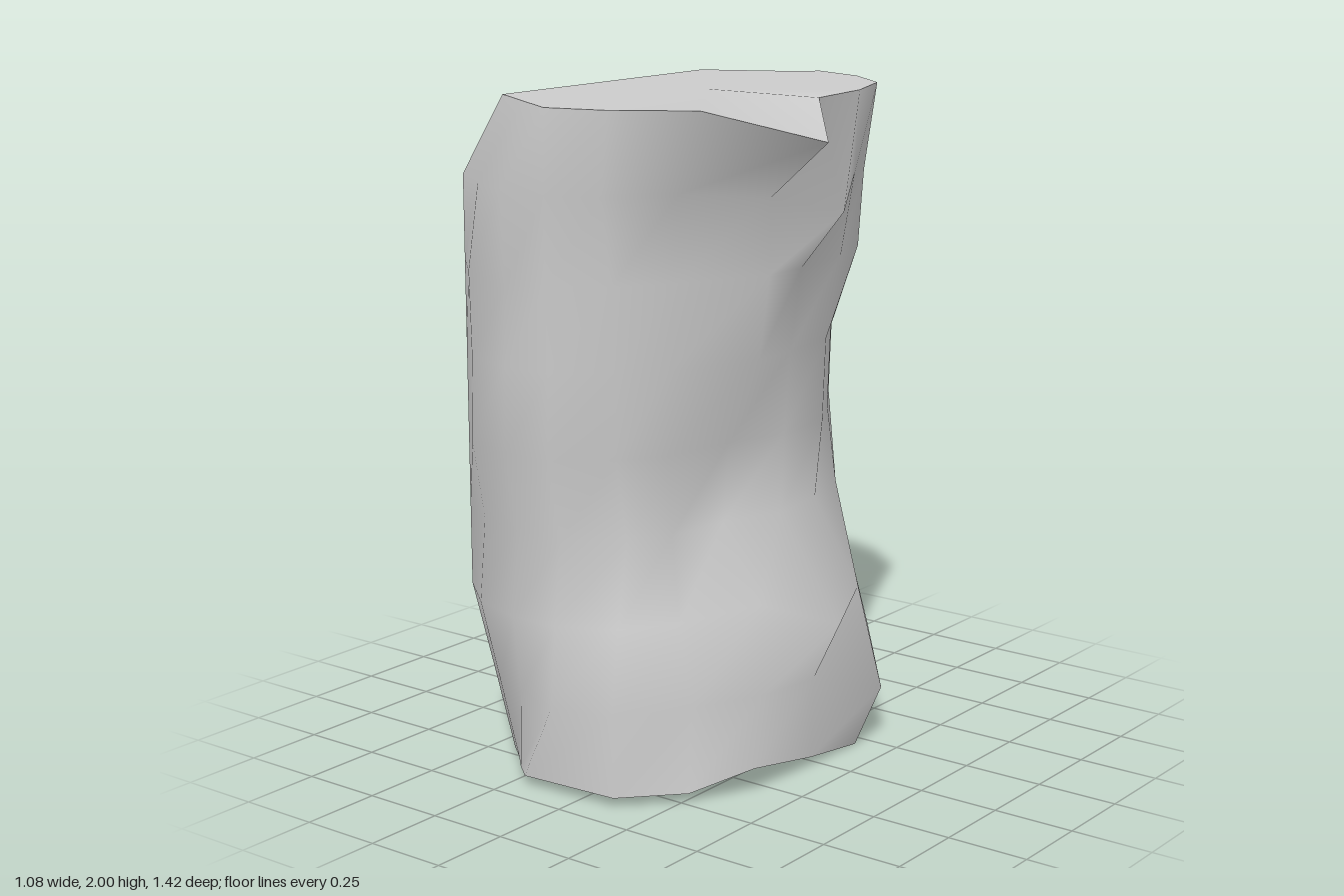
import * as THREE from 'three';

// Plan outline [x, z]: back corner of the flat wall, round by +x, to its front corner
const OUTLINE = [
  [-0.54, -0.42], [-0.39, -0.555], [-0.2, -0.6], [-0.06, -0.61], [0.12, -0.55],
  [0.28, -0.42], [0.36, -0.21], [0.39, 0.04], [0.39, 0.2], [0.24, 0.47],
  [0.12, 0.65], [-0.06, 0.7], [-0.22, 0.7], [-0.39, 0.65], [-0.54, 0.51],
];
// Where the corner columns land when the corners are fully chamfered
const CHAMFER = {
  0: [-0.38, -0.42], 1: [-0.27, -0.475], 2: [-0.15, -0.535],
  12: [-0.22, 0.605], 13: [-0.31, 0.55], 14: [-0.38, 0.51],
};
// How much each column's depth follows the waist
const DEPTH_PULL = [0, 0, 0, 0, 0.3, 0.5, 0.5, 0, 0.2, 0.1, 0.4, 0, 0, 0, 0];

// Height, +x waist scale, back depth, front depth, back chamfer, front chamfer
const ROWS = [
  [0.03, 0.98, 0.99, 0.94, 1, 1],
  [0.28, 1.0, 1.0, 1.01, 0.5, 0.5],
  [0.52, 0.88, 0.94, 0.98, 0, 0],
  [0.77, 0.68, 0.94, 0.94, 0, 0],
  [1.01, 0.71, 0.97, 1.01, 0, 0],
  [1.26, 0.76, 0.99, 1.0, 0, 0],
  [1.51, 0.86, 0.99, 1.01, 0, 0],
  [1.76, 0.97, 0.99, 1.01, 0.5, 0],
  [2.0, 1, 1, 1, 1, 1],
];
// Knobs, dents and chips, keyed by row,column
const BUMPS = {
  '0,3': [-0.06, 0, -0.6], '0,6': [0.38, 0, -0.2], '0,8': [0.38, 0.08, 0.32],
  '0,9': [0.27, 0.03, 0.49], '0,10': [0.12, 0.03, 0.65], '0,11': [-0.2, 0.03, 0.67],
  '0,12': [-0.26, 0.03, 0.62], '0,13': [-0.32, 0.03, 0.56],
  '1,4': [0.07, 0.25, -0.655], '1,5': [0.22, 0.28, -0.5], '1,6': [0.42, 0.17, -0.28],
  '1,8': [0.36, 0.28, 0.25], '1,9': [0.26, 0.28, 0.46],
  '2,6': [0.37, 0.5, -0.22], '2,7': [0.42, 0.43, -0.05], '2,8': [0.36, 0.56, 0.27],
  '3,4': [0.05, 0.77, -0.52], '3,5': [0.18, 0.77, -0.37], '3,8': [0.19, 0.77, 0.22],
  '4,1': [-0.33, 1.01, -0.57], '4,2': [-0.18, 0.99, -0.71], '4,4': [0.04, 1.01, -0.53],
  '4,5': [0.16, 1.01, -0.35], '4,6': [0.26, 1.01, -0.18], '4,8': [0.21, 1.01, 0.22],
  '5,4': [0.05, 1.26, -0.53], '5,5': [0.17, 1.26, -0.35], '5,6': [0.27, 1.26, -0.18],
  '6,12': [-0.25, 1.48, 0.66],
  '7,5': [0.25, 1.74, -0.4], '7,7': [0.425, 1.67, -0.04], '7,8': [0.34, 1.73, 0.2],
  '7,9': [0.22, 1.76, 0.465], '7,10': [0.09, 1.76, 0.64], '7,13': [-0.39, 1.76, 0.61],
  '8,8': [0.535, 1.9, 0.2], '8,9': [0.33, 2, 0.51],
};

function pointAt(r, c) {
  const bump = BUMPS[r + ',' + c];
  if (bump) return bump;
  const [y, waist, back, front, cutBack, cutFront] = ROWS[r];
  let [x, z] = OUTLINE[c];
  if (x > 0) x *= waist;
  z *= 1 - DEPTH_PULL[c] * (1 - waist);
  if (c > 0 && c < 14) z *= z < 0 ? back : front;
  const cut = CHAMFER[c];
  if (cut) {
    const t = c < 7 ? cutBack : cutFront;
    x += (cut[0] - x) * t;
    z += (cut[1] - z) * t;
  }
  return [x, y, z];
}

// Indexed geometry with smooth normals
function build(points, index) {
  const g = new THREE.BufferGeometry();
  g.setAttribute('position', new THREE.Float32BufferAttribute(points.flat(), 3));
  g.setIndex(index);
  g.computeVertexNormals();
  return g;
}

// Skin round all columns, through every row
function skin() {
  const points = [], index = [], n = OUTLINE.length;
  ROWS.forEach((_, r) => OUTLINE.forEach((_, c) => points.push(pointAt(r, c))));
  for (let r = 0; r < ROWS.length - 1; r++) {
    for (let c = 0; c < n - 1; c++) {
      const a = r * n + c, b = a + 1, up = a + n;
      index.push(a, up, b, b, up, up + 1);
    }
  }
  return build(points, index);
}

// Fan from a hub over a closed, counter-clockwise rim
function fan(hub, rim) {
  const index = [];
  rim.forEach((_, i) => index.push(0, 1 + i, 1 + ((i + 1) % rim.length)));
  return build([hub, ...rim], index);
}

export function createModel() {
  const group = new THREE.Group();
  group.name = 'rockPillar';
  const material = new THREE.MeshStandardMaterial({ color: 0xcccccc });
  const add = (name, geometry) => {
    const mesh = new THREE.Mesh(geometry, material);
    mesh.name = name;
    group.add(mesh);
  };
  const ring = (r) => OUTLINE.map((_, c) => pointAt(r, c));
  const edge = (c) => ROWS.map((_, r) => pointAt(r, c));

  // Weathered round face
  add('roundedFace', skin());
  // Split wall on the -x side, spread from a low point on its front edge, shaded flat
  const wall = fan(pointAt(1, 14), [...edge(14), ...edge(0).reverse()]);
  const normals = wall.attributes.normal;
  for (let i = 0; i < normals.count; i++) normals.setXYZ(i, -1, 0, 0);
  add('splitWall', wall);
  // Ends
  add('topFace', fan([0, 2, 0.04], ring(ROWS.length - 1).reverse()));
  add('bottomFace', fan([0, 0.03, 0], ring(0)));
  return group;
}
